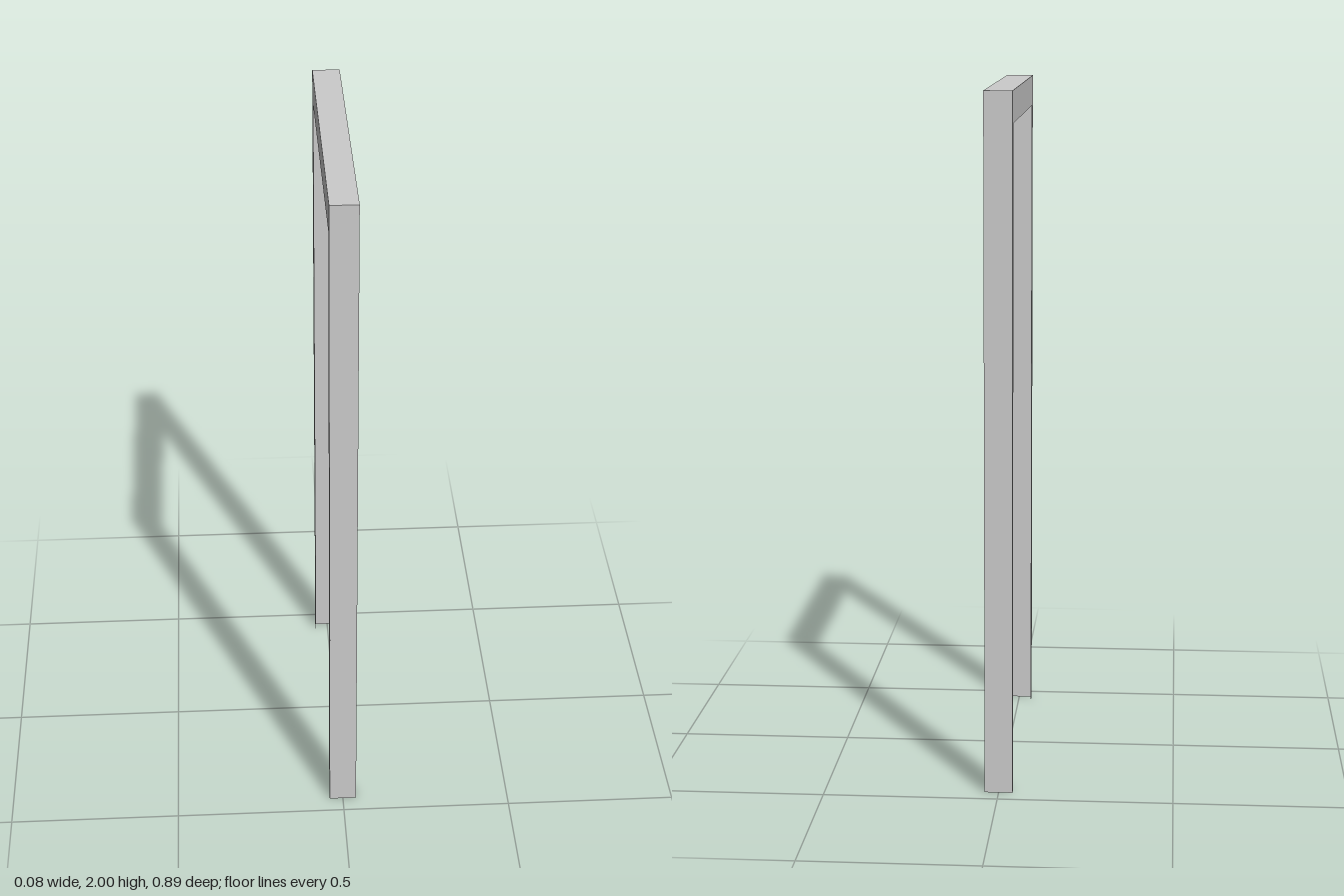
import * as THREE from 'three';

const H = 2, Z = 0.447, W = 0.08;      // height, half span, channel width
const LIP = 0.028, HEAD = 0.09;        // flange depth on posts and header
const T = 0.002;                       // sheet thickness

export function createModel() {
  const model = new THREE.Group();
  model.name = 'doorFrame';
  const material = new THREE.MeshStandardMaterial({ color: 0xcccccc, flatShading: true, side: THREE.DoubleSide });

  function add(name, geometry, x, y, z) {
    const mesh = new THREE.Mesh(geometry, material);
    mesh.name = name;
    mesh.position.set(x, y, z);
    model.add(mesh);
    return mesh;
  }

  // Side flanges: one continuous portal outline per side, drawn in the z-y plane
  const zi = Z - LIP, yi = H - HEAD;
  const portal = new THREE.Shape([
    [-Z, 0], [-zi, 0], [-zi, yi], [zi, yi], [zi, 0], [Z, 0], [Z, H], [-Z, H],
  ].map(([a, b]) => new THREE.Vector2(a, b)));
  const flange = new THREE.ExtrudeGeometry(portal, { depth: T, bevelEnabled: false });
  flange.translate(0, 0, -T / 2).rotateY(Math.PI / 2);
  const fx = W / 2 - T / 2;
  add('leftFlange', flange, fx, 0, 0);
  add('rightFlange', flange, -fx, 0, 0);

  // Webs close the outside of the channel, leaving it open inwards
  const inner = W - 2 * T;
  const postWeb = new THREE.BoxGeometry(inner, H - T, T);
  add('frontPostWeb', postWeb, 0, (H - T) / 2, Z - T / 2);
  add('backPostWeb', postWeb, 0, (H - T) / 2, -Z + T / 2);
  add('headerWeb', new THREE.BoxGeometry(inner, T, 2 * Z), 0, H - T / 2, 0);

  return model;
}
